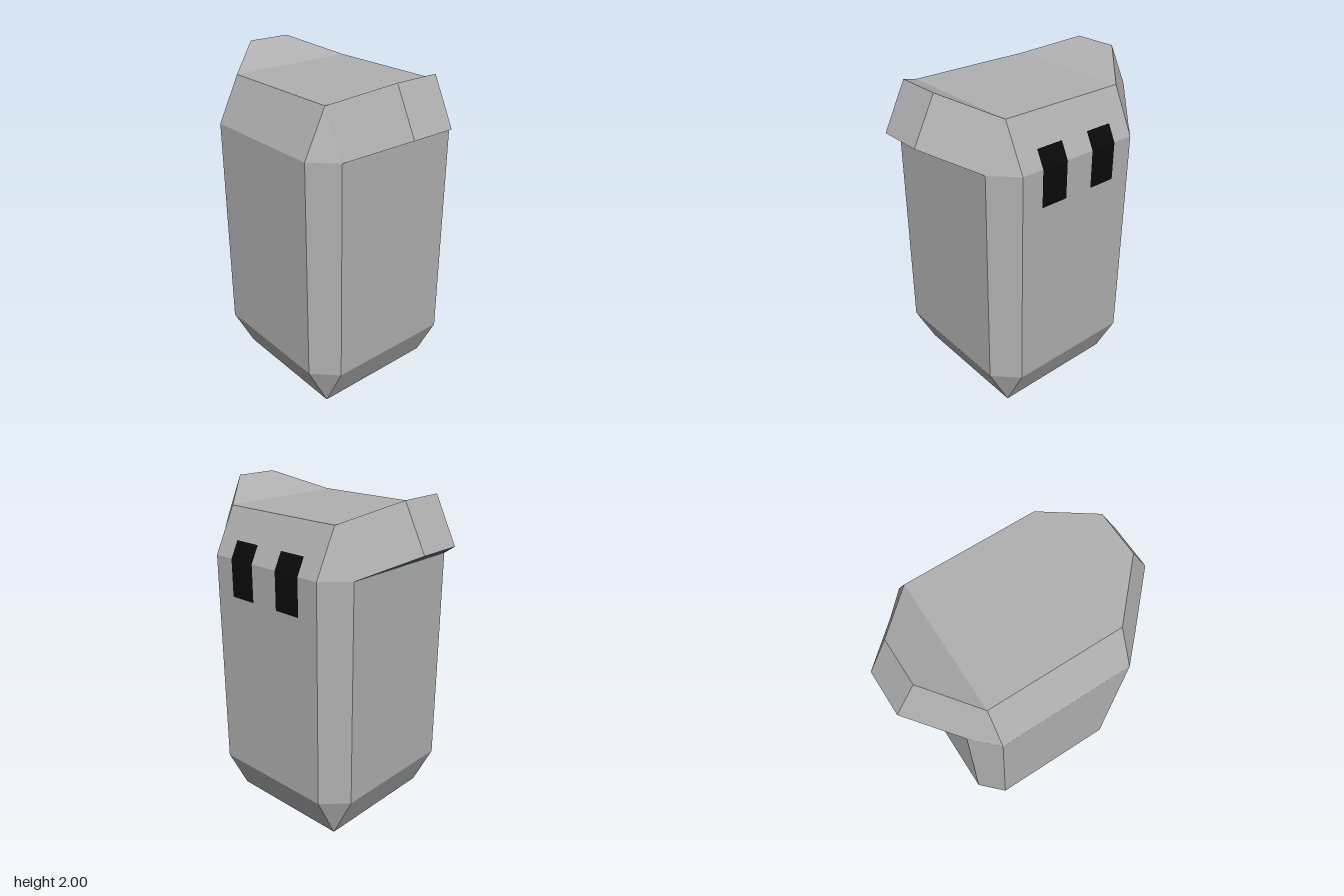
import * as THREE from 'three';

const material = (name, color) => {
  const m = new THREE.MeshStandardMaterial({ color, flatShading: true });
  m.name = name;
  return m;
};

// Flat-faced mesh from a list of convex polygons, corners counter-clockwise from outside
function faceted(name, polygons, mat, flip = false) {
  const pos = [];
  for (const p of polygons) {
    const q = flip ? [...p].reverse() : p;
    for (let i = 1; i < q.length - 1; i++) pos.push(...q[0], ...q[i], ...q[i + 1]);
  }
  const g = new THREE.BufferGeometry();
  g.setAttribute('position', new THREE.Float32BufferAttribute(pos, 3));
  g.computeVertexNormals();
  const mesh = new THREE.Mesh(g, mat);
  mesh.name = name;
  return mesh;
}

export function createModel() {
  const grey = material('bodyGrey', 0xb0b0b0);
  const slate = material('undersideSlate', 0x5f6976);
  const black = material('stripBlack', 0x0a0a0a);
  const group = new THREE.Group();
  group.name = 'chamferedCanister';

  const A = 0.402, B = 0.537; // half width of flat faces, half width overall
  const Y1 = 0.27, Y2 = 1.61, Y3 = 1.88; // lower bevel, upper bevel, top

  // Eight-cornered cross-section at height y
  const ring = (y, b) => [[-A, b], [A, b], [b, A], [b, -A], [A, -b], [-A, -b], [-b, -A], [-b, A]]
    .map(([x, z]) => [x, y, z]);
  const rings = [ring(0, A), ring(Y1, B), ring(Y2, B), ring(Y3, A)];

  // Body walls and bevels; the upper side bevels are covered by the ears
  const walls = [];
  for (let r = 0; r < 3; r++) {
    for (let i = 0; i < 8; i++) {
      if (r === 2 && (i === 2 || i === 6)) continue;
      const j = (i + 1) % 8, lo = rings[r], hi = rings[r + 1];
      if (i % 2 === 0) walls.push([lo[i], lo[j], hi[j], hi[i]]);
      else if (r === 0) walls.push([lo[i], hi[j], hi[i]]);
      else if (r === 1) walls.push([lo[i], lo[j], hi[j], hi[i]]);
      else walls.push([lo[i], lo[j], hi[i]]);
    }
  }
  walls.push([[-A, Y3, A], [A, Y3, A], [A, Y3, -A], [-A, Y3, -A]]);
  group.add(faceted('body', walls, grey));
  group.add(faceted('base', [[[-A, 0, -A], [A, 0, -A], [A, 0, A], [-A, 0, A]]], slate));

  // Tapered ears flaring up and out from the upper side bevels
  for (const s of [1, -1]) {
    const P = (x, y, z) => [s * x, y, z];
    const T = 0.137; // half width of the ear tip
    const topF = P(A, Y3, A), topB = P(A, Y3, -A), lowF = P(B, Y2, A), lowB = P(B, Y2, -A);
    const tipF = P(0.642, 2, T), tipB = P(0.642, 2, -T);
    const endF = P(0.776, 1.735, T), endB = P(0.776, 1.735, -T);
    const ear = new THREE.Group();
    ear.name = s > 0 ? 'leftEar' : 'rightEar';
    ear.add(faceted('earShell', [
      [topF, tipF, tipB, topB],
      [topF, lowF, endF, tipF],
      [topB, tipB, endB, lowB],
      [endF, endB, tipB, tipF],
    ], grey, s < 0));
    ear.add(faceted('earUnderside', [[lowF, lowB, endB, endF]], slate, s < 0));
    group.add(ear);
  }

  // Two black strips folded over the upper back edge
  const lift = 0.003;
  for (const s of [1, -1]) {
    const x0 = s * 0.18 - 0.087, x1 = s * 0.18 + 0.087;
    const profile = [[1.385, -B - lift], [Y2, -B - lift], [1.71, -0.487 - lift]];
    const faces = [0, 1].map((i) => {
      const [ya, za] = profile[i], [yb, zb] = profile[i + 1];
      return [[x1, ya, za], [x0, ya, za], [x0, yb, zb], [x1, yb, zb]];
    });
    group.add(faceted(s > 0 ? 'leftBackStrip' : 'rightBackStrip', faces, black));
  }
  return group;
}
